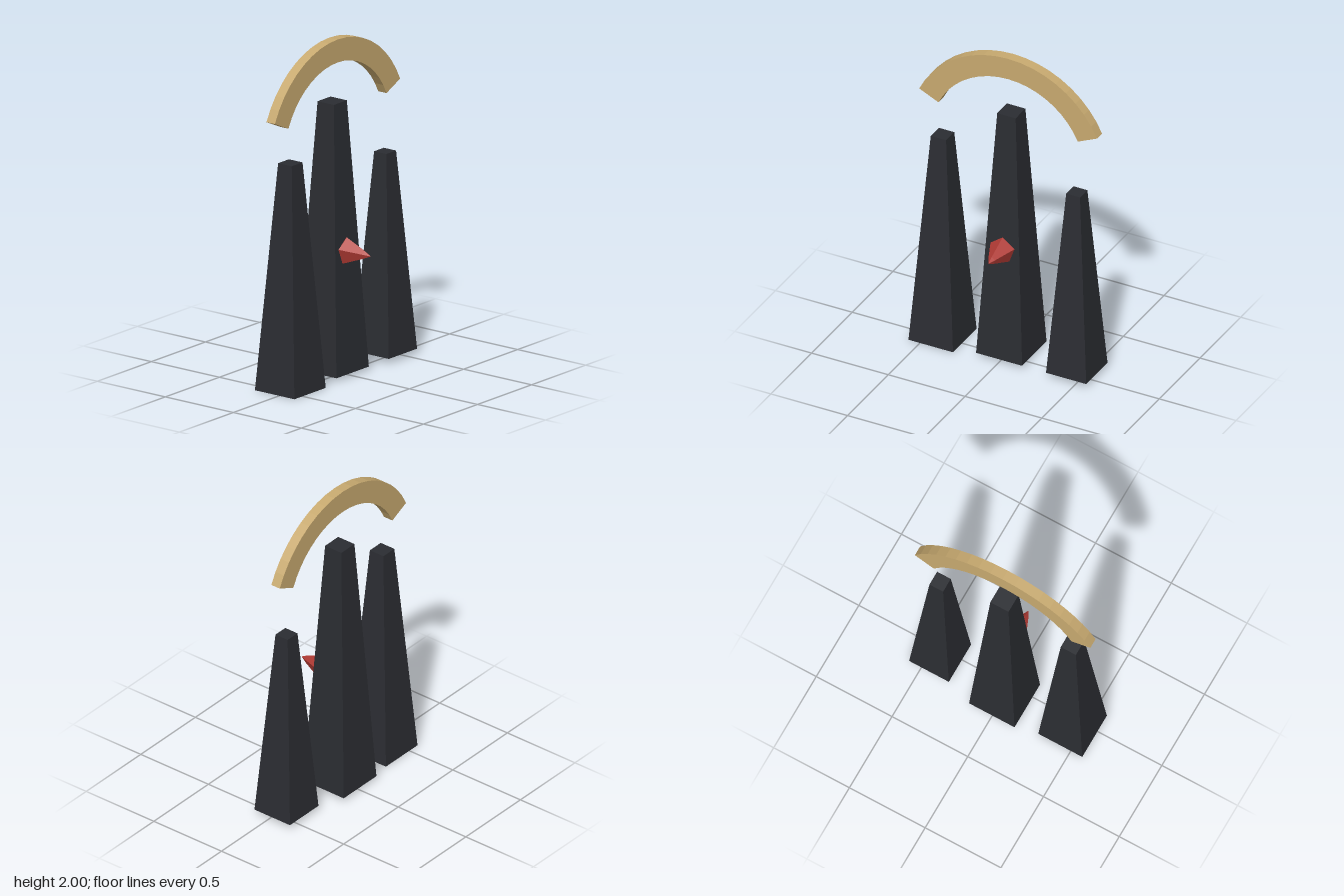
import * as THREE from 'three';

const mat = (color) => new THREE.MeshStandardMaterial({ color, flatShading: true });

export function createModel() {
  const model = new THREE.Group();
  const stone = mat(0x2b2d32), gold = mat(0xc8aa70), red = mat(0xb03a34);

  const add = (name, geometry, material, x, y, z) => {
    const mesh = new THREE.Mesh(geometry, material);
    mesh.name = name;
    mesh.position.set(x, y, z);
    model.add(mesh);
    return mesh;
  };

  // Tapered square towers: name, x, z, bottom y, top y, half width at base and top
  const towers = [
    ['rightTower', -0.43, -0.034, 0, 1.36, 0.145, 0.05],
    ['centreTower', 0, -0.068, 0.02, 1.625, 0.15, 0.06],
    ['leftTower', 0.445, -0.033, 0.03, 1.225, 0.131, 0.045],
  ];
  for (const [name, x, z, y0, y1, base, top] of towers) {
    const g = new THREE.CylinderGeometry(top * Math.SQRT2, base * Math.SQRT2, y1 - y0, 4);
    g.rotateY(Math.PI / 4);
    add(name, g, stone, x, (y0 + y1) / 2, z);
  }

  // Flat arch floating above the towers
  const a = 0.43, outer = 0.637, inner = 0.499, depth = 0.062;
  const arc = new THREE.Shape();
  arc.absarc(0, 0, outer, a, Math.PI - a, false);
  arc.absarc(0, 0, inner, Math.PI - a, a, true);
  arc.closePath();
  const archGeo = new THREE.ExtrudeGeometry(arc, { depth, bevelEnabled: false, curveSegments: 9 });
  add('arch', archGeo, gold, 0, 2 - outer, -0.091);

  // Five-sided spike on the front of the centre tower
  const profile = [[0, 0], [0.082, 0], [0.082, 0.01], [0.023, 0.143], [0, 0.185]]
    .map(([r, h]) => new THREE.Vector2(r, h));
  const spike = new THREE.LatheGeometry(profile, 5, Math.PI);
  spike.rotateX(Math.PI / 2);
  add('spike', spike, red, 0, 0.742, 0.03);

  return model;
}
